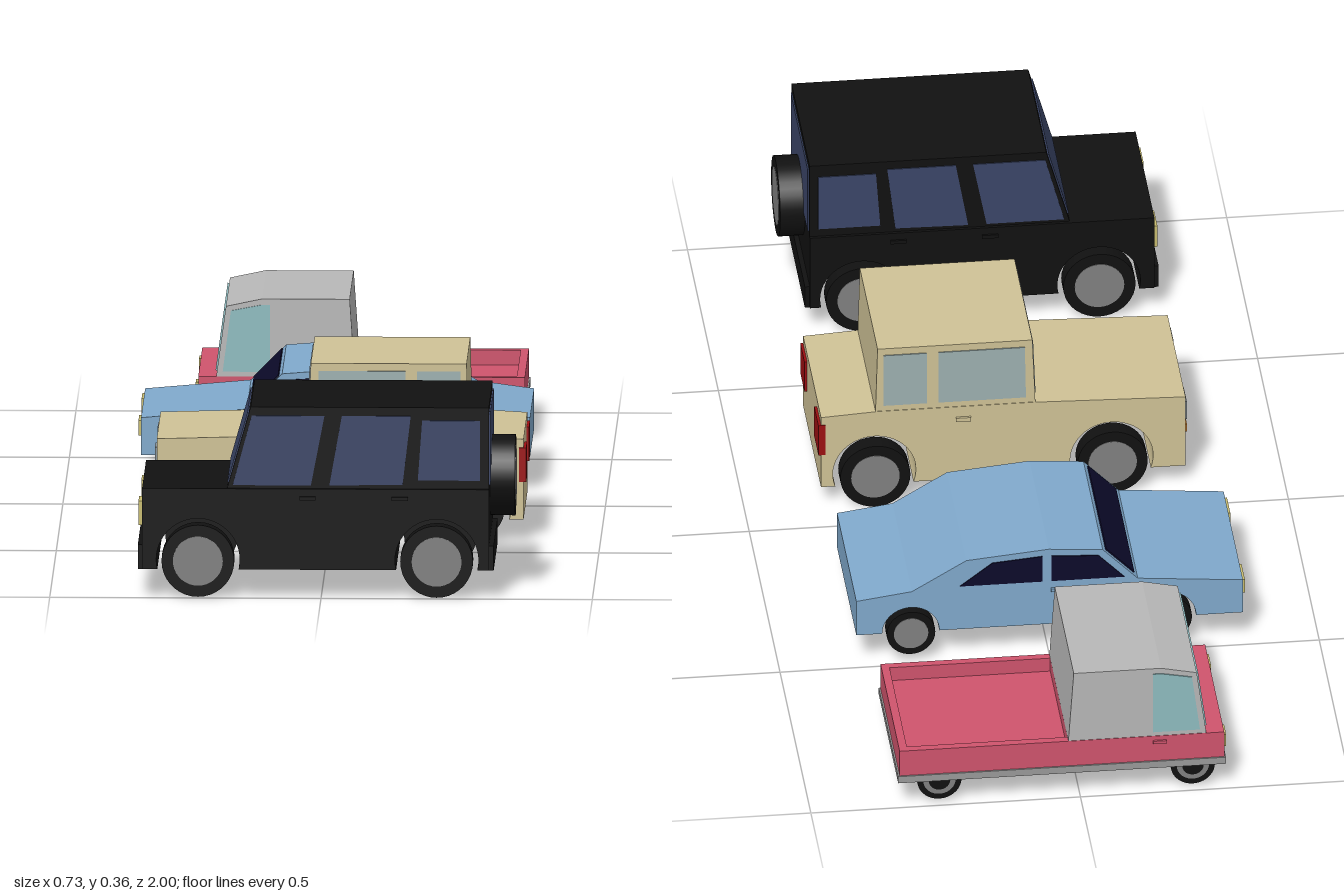
import * as THREE from 'three';

const mats = {};
const mat = (color) => (mats[color] ??= new THREE.MeshStandardMaterial({ color, flatShading: true }));
const smooth = (color) => (mats['s' + color] ??= new THREE.MeshStandardMaterial({ color }));
const GREY = 0xcccccc, TYRE = 0x111111, HUB = 0x808080, LAMP = 0xc8bc70;

function add(group, name, geometry, material, x = 0, y = 0, z = 0) {
  const mesh = new THREE.Mesh(geometry, material);
  mesh.name = name;
  mesh.position.set(x, y, z);
  group.add(mesh);
  return mesh;
}

// Box given by its limits in x and y, and its centre and size in z
const box = (g, name, color, x0, x1, y0, y1, z, depth) =>
  add(g, name, new THREE.BoxGeometry(x1 - x0, y1 - y0, depth), mat(color), (x0 + x1) / 2, (y0 + y1) / 2, z);

// The same box on both sides of the car
const pair = (g, name, color, x0, x1, y0, y1, z, depth) => {
  for (const s of [1, -1]) box(g, name, color, x0, x1, y0, y1, s * z, depth);
};

// Side outline extruded over the width of the car
function slab(g, name, color, shape, half, z = 0) {
  const geo = new THREE.ExtrudeGeometry(shape, { depth: 2 * half, bevelEnabled: false, curveSegments: 20 });
  geo.translate(0, 0, -half);
  return add(g, name, geo, mat(color), 0, 0, z);
}
const outline = (pts) => new THREE.Shape(pts.map(([x, y]) => new THREE.Vector2(x, y)));

// Body outline: points from front bottom over the top to rear bottom, with round wheel arches cut below
function archedOutline(pts, wheelXs, cy, r) {
  const shape = outline(pts);
  const a = Math.asin((pts[0][1] - cy) / r);
  for (const x of [...wheelXs].sort((p, q) => q - p)) {
    shape.lineTo(x + r * Math.cos(a), pts[0][1]);
    shape.absarc(x, cy, r, a, Math.PI - a, false);
  }
  shape.closePath();
  return shape;
}

// Thin glass on both sides
const sideGlass = (g, color, pts, half) => {
  for (const s of [1, -1]) slab(g, 'sideWindow', color, outline(pts), 0.002, s * half);
};

// Glass across the car, between two points of the side outline
function crossGlass(g, name, color, [x0, y0], [x1, y1], width) {
  const geo = new THREE.BoxGeometry(Math.hypot(x1 - x0, y1 - y0), 0.005, width);
  add(g, name, geo, mat(color), (x0 + x1) / 2, (y0 + y1) / 2).rotation.z = Math.atan2(y1 - y0, x1 - x0);
}

function disc(g, name, color, r, width, x, y, z) {
  add(g, name, new THREE.CylinderGeometry(r, r, width, 36), smooth(color), x, y, z).rotation.x = Math.PI / 2;
}

// Four wheels, with an axle for each pair
function wheels(g, xs, y, r, outer, width, hubR, axle = true) {
  for (const x of xs) {
    for (const s of [1, -1]) {
      disc(g, 'tyre', TYRE, r, width, x, y, s * (outer - width / 2 - 0.001));
      disc(g, 'hub', HUB, hubR, width, x, y, s * (outer - width / 2));
    }
    if (axle) disc(g, 'axle', GREY, 0.012, 2 * outer - 2 * width, x, y, 0);
  }
}

function createOffRoader() {
  const g = new THREE.Group(), C = 0x111111, GLASS = 0x3b4668, xs = [-0.227, 0.213];
  slab(g, 'lowerBody', C, archedOutline(
    [[-0.33, 0.055], [-0.33, 0.206], [0.309, 0.206], [0.309, 0.055]], xs, 0.073, 0.077), 0.153);
  slab(g, 'cabin', C, outline([[-0.175, 0.2], [-0.13, 0.358], [0.309, 0.358], [0.309, 0.2]]), 0.147);
  sideGlass(g, GLASS, [[-0.163, 0.212], [-0.128, 0.342], [0.006, 0.342], [-0.019, 0.212]], 0.147);
  sideGlass(g, GLASS, [[0.015, 0.212], [0.038, 0.342], [0.165, 0.342], [0.15, 0.214]], 0.147);
  sideGlass(g, GLASS, [[0.178, 0.222], [0.186, 0.334], [0.293, 0.334], [0.293, 0.222]], 0.147);
  crossGlass(g, 'windscreen', GLASS, [-0.171, 0.215], [-0.134, 0.345], 0.27);
  crossGlass(g, 'rearWindow', GLASS, [0.309, 0.212], [0.309, 0.345], 0.272);
  box(g, 'frontBumper', C, -0.338, -0.328, 0.055, 0.1, 0, 0.3);
  box(g, 'rearBumper', C, 0.305, 0.318, 0.055, 0.1, 0, 0.3);
  pair(g, 'headlight', LAMP, -0.337, -0.328, 0.135, 0.18, 0.112, 0.055);
  for (const x of [-0.04, 0.13]) pair(g, 'doorHandle', C, x, x + 0.03, 0.185, 0.192, 0.154, 0.006);
  // Spare wheel on the tail
  const spare = new THREE.Group();
  spare.name = 'spareWheel';
  disc(spare, 'tyre', TYRE, 0.075, 0.046, 0, 0, 0);
  disc(spare, 'hub', HUB, 0.055, 0.046, 0, 0, 0.001);
  spare.rotation.y = Math.PI / 2;
  spare.position.set(0.332, 0.208, 0);
  g.add(spare);
  wheels(g, xs, 0.072, 0.067, 0.162, 0.034, 0.046);
  return g;
}

function createCompact() {
  const g = new THREE.Group(), C = 0xcfc296, GLASS = 0x9db0b0, xs = [-0.181, 0.259];
  slab(g, 'lowerBody', C, archedOutline(
    [[-0.318, 0.042], [-0.318, 0.19], [-0.034, 0.198], [0.253, 0.198], [0.358, 0.192], [0.358, 0.042]],
    xs, 0.068, 0.077), 0.145);
  slab(g, 'cabin', C, outline([[-0.04, 0.19], [-0.034, 0.332], [0.253, 0.332], [0.257, 0.19]]), 0.144);
  sideGlass(g, GLASS, [[-0.022, 0.21], [-0.02, 0.318], [0.14, 0.318], [0.14, 0.21]], 0.144);
  sideGlass(g, GLASS, [[0.162, 0.21], [0.162, 0.318], [0.242, 0.318], [0.242, 0.21]], 0.144);
  crossGlass(g, 'windscreen', 0x7f8c90, [-0.039, 0.21], [-0.0345, 0.32], 0.262);
  pair(g, 'headlight', 0x8a949a, -0.322, -0.316, 0.135, 0.172, 0.108, 0.05);
  pair(g, 'indicator', 0xc88030, -0.322, -0.316, 0.108, 0.124, 0.108, 0.05);
  pair(g, 'tailLight', 0x9c0f12, 0.35, 0.363, 0.112, 0.176, 0.113, 0.068);
  pair(g, 'doorHandle', C, 0.08, 0.108, 0.168, 0.176, 0.146, 0.008);
  wheels(g, xs, 0.068, 0.065, 0.162, 0.034, 0.045);
  return g;
}

function createSaloon() {
  const g = new THREE.Group(), C = 0x80a9cc, GLASS = 0x0c0a2a, xs = [-0.22, 0.256];
  slab(g, 'body', C, archedOutline(
    [[-0.36, 0.065], [-0.36, 0.135], [-0.165, 0.152], [-0.1, 0.218], [0, 0.226], [0.153, 0.212],
      [0.254, 0.152], [0.357, 0.138], [0.357, 0.065]], xs, 0.065, 0.053), 0.157);
  sideGlass(g, GLASS, [[-0.14, 0.158], [-0.092, 0.207], [-0.005, 0.212], [-0.005, 0.158]], 0.157);
  sideGlass(g, GLASS, [[0.012, 0.158], [0.012, 0.212], [0.105, 0.204], [0.165, 0.158]], 0.157);
  crossGlass(g, 'windscreen', GLASS, [-0.158, 0.159], [-0.106, 0.212], 0.295);
  pair(g, 'headlight', LAMP, -0.365, -0.358, 0.1, 0.128, 0.118, 0.055);
  pair(g, 'doorHandle', C, -0.03, -0.004, 0.136, 0.143, 0.158, 0.008);
  wheels(g, xs, 0.065, 0.045, 0.162, 0.028, 0.032);
  return g;
}

function createPickup() {
  const g = new THREE.Group(), C = 0xcf546d, CAB = 0xb8b8b8, GLASS = 0x8fbcc0;
  // Underplate and red tub with an open bed
  box(g, 'underplate', 0x9a9a9a, -0.27, 0.338, 0.056, 0.07, 0, 0.316);
  box(g, 'bedFloor', C, 0.01, 0.33, 0.07, 0.095, 0, 0.3);
  box(g, 'noseAndCabBase', C, -0.267, 0.022, 0.07, 0.123, 0, 0.31);
  box(g, 'tailgate', C, 0.32, 0.335, 0.07, 0.123, 0, 0.31);
  pair(g, 'bedSide', C, 0.02, 0.322, 0.07, 0.123, 0.1475, 0.015);
  slab(g, 'cabin', CAB, outline(
    [[-0.234, 0.122], [-0.216, 0.254], [-0.15, 0.268], [0.012, 0.268], [0.022, 0.122]]), 0.154);
  sideGlass(g, GLASS, [[-0.222, 0.132], [-0.207, 0.246], [-0.15, 0.257], [-0.135, 0.257], [-0.135, 0.132]], 0.154);
  crossGlass(g, 'windscreen', GLASS, [-0.233, 0.132], [-0.2175, 0.246], 0.285);
  pair(g, 'headlight', LAMP, -0.272, -0.265, 0.085, 0.11, 0.125, 0.035);
  pair(g, 'doorHandle', C, -0.16, -0.135, 0.108, 0.114, 0.156, 0.006);
  wheels(g, [-0.21, 0.26], 0.05, 0.041, 0.145, 0.022, 0.03, false);
  for (const x of [-0.21, 0.26]) for (const s of [1, -1]) disc(g, 'hubCentre', TYRE, 0.02, 0.004, x, 0.05, s * 0.1445);
  return g;
}

export function createModel() {
  const model = new THREE.Group();
  model.name = 'carRow';
  // Four cars side by side, noses towards -x
  const row = [
    ['offRoader', createOffRoader, 0.838], ['compactCar', createCompact, 0.222],
    ['saloon', createSaloon, -0.33], ['pickup', createPickup, -0.842],
  ];
  for (const [name, build, z] of row) {
    const car = build();
    car.name = name;
    car.position.set(0, -0.003, z);
    model.add(car);
  }
  return model;
}
